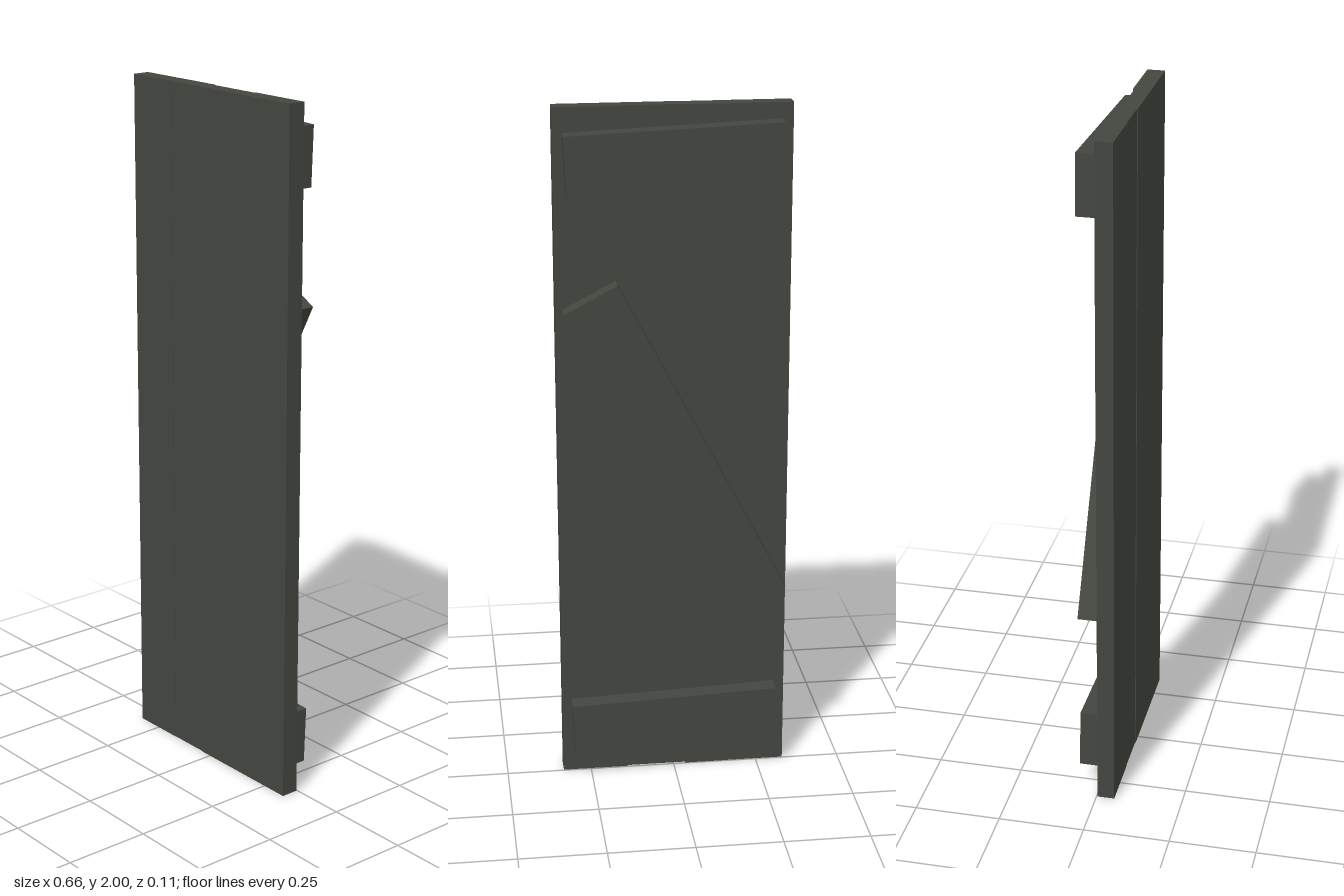
import * as THREE from 'three';

export function createModel() {
  const group = new THREE.Group();
  const wood = new THREE.MeshStandardMaterial({ color: 0x434740 });
  wood.name = 'dark weathered wood';

  function board(name, w, h, d, x, y, z, tilt = 0) {
    const mesh = new THREE.Mesh(new THREE.BoxGeometry(w, h, d), wood);
    mesh.name = name;
    mesh.position.set(x, y, z);
    mesh.rotation.z = tilt;
    group.add(mesh);
  }

  // Upright planks: left edge, right edge, back z, front z
  const planks = [
    [-0.332, -0.165, 0.003, 0.053],
    [-0.165, -0.035, 0.002, 0.052],
    [-0.035, 0.14, 0.008, 0.054],
    [0.14, 0.332, 0.003, 0.054],
  ];
  planks.forEach(([x0, x1, z0, z1], i) =>
    board(`plank${i + 1}`, x1 - x0, 2, z1 - z0, (x0 + x1) / 2, 1, (z0 + z1) / 2));

  // Slightly crooked cross battens on the back
  const depth = 0.055, backZ = -0.0272;
  board('upperBatten', 0.606, 0.17, depth, 0, 1.858, backZ, -0.041);
  board('lowerBatten', 0.606, 0.17, depth, 0, 0.163, backZ, -0.041);

  // Diagonal brace, leaning toward +x at the top
  board('diagonalBrace', 0.17, 1.043, depth, -0.005, 1.012, backZ, -THREE.MathUtils.degToRad(27.7));

  return group;
}
